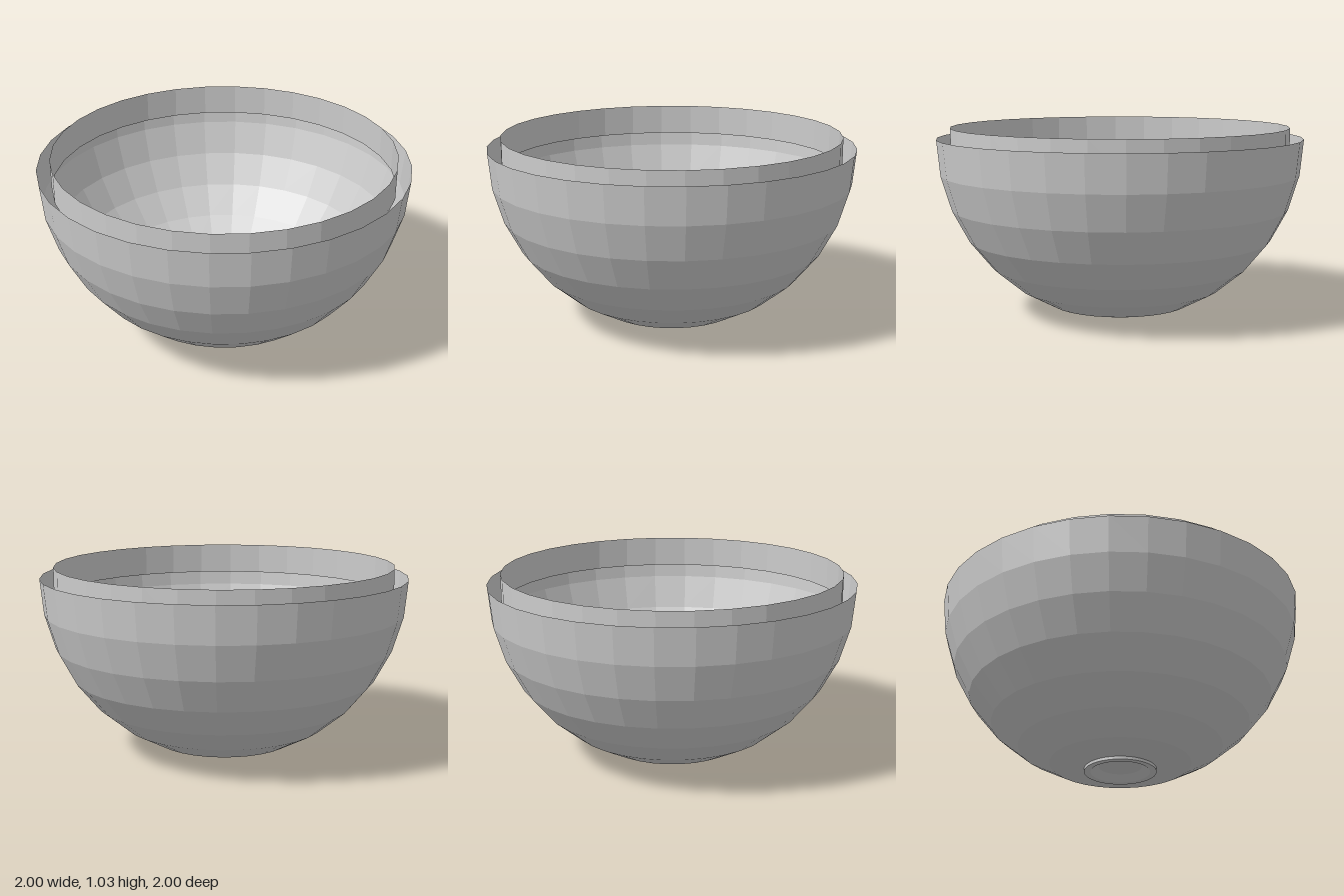
import * as THREE from 'three';

const SIDES = 32;
const RIM_Y = 0.97;

function material(flatShading) {
  return new THREE.MeshStandardMaterial({ color: 0xcccccc, flatShading, side: THREE.DoubleSide });
}

// Revolve a profile of [radius, height] pairs, listed from the bottom upwards
function revolve(name, profile, sides, flat) {
  const points = profile.map(([r, y]) => new THREE.Vector2(r, y));
  const mesh = new THREE.Mesh(new THREE.LatheGeometry(points, sides), material(flat));
  mesh.name = name;
  return mesh;
}

export function createModel() {
  const model = new THREE.Group();
  model.name = 'bowl';

  // Faceted hemispherical shell with a flattened floor opening at the foot
  const shell = [[0.195, 0.016]];
  for (let i = 6; i >= 0; i--) {
    const a = (i * Math.PI) / 16;
    shell.push([Math.cos(a), RIM_Y - Math.sin(a)]);
  }
  model.add(revolve('bowlShell', shell, SIDES, true));

  // Thin inner collar standing proud of the rim
  model.add(revolve('innerCollar', [[0.925, 0.86], [0.925, 1.03]], SIDES, true));

  // Round foot with a recessed centre; separate bands keep its edges sharp
  const foot = new THREE.Group();
  foot.name = 'foot';
  const profile = [[0, 0.03], [0.115, 0.03], [0.16, 0], [0.195, 0], [0.195, 0.016]];
  const bands = ['footCentre', 'footRecess', 'footBase', 'footWall'];
  bands.forEach((name, i) => foot.add(revolve(name, [profile[i], profile[i + 1]], 64, false)));
  model.add(foot);

  return model;
}
